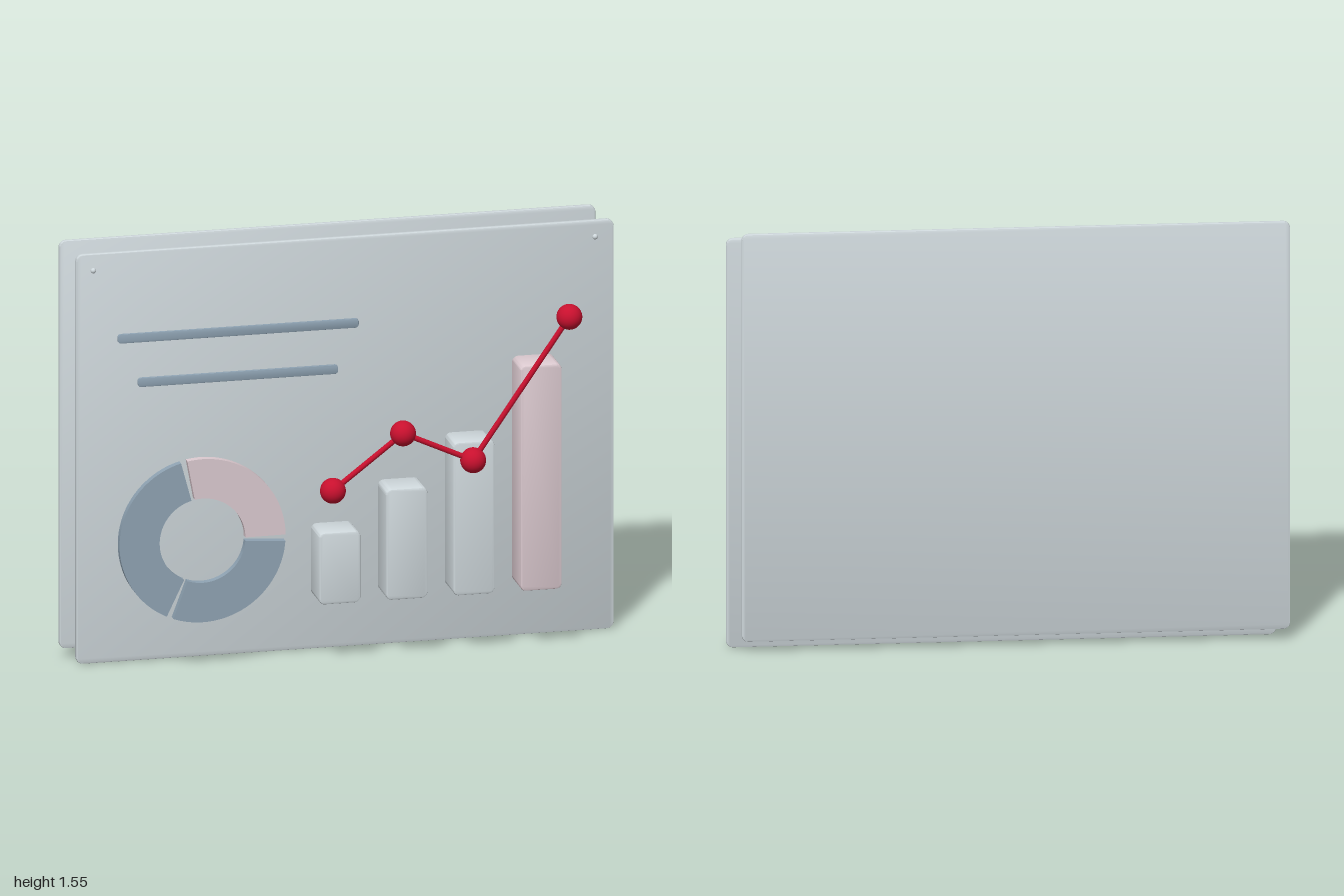
import * as THREE from 'three';
import { toCreasedNormals } from 'three/addons/utils/BufferGeometryUtils.js';

const material = (color) => new THREE.MeshStandardMaterial({ color });
const pale = material(0xcfd8dc);
const blue = material(0x8fa3b3);
const pink = material(0xdccad0);
const red = material(0xc8102e);

// Extrudes a shape between z0 and z1, the bevel included in its outline
function extrude(shape, z0, z1, bevel) {
  const geometry = new THREE.ExtrudeGeometry(shape, {
    depth: z1 - z0 - 2 * bevel,
    bevelEnabled: bevel > 0,
    bevelThickness: bevel,
    bevelSize: bevel,
    bevelOffset: -bevel,
    bevelSegments: 2,
    curveSegments: 8,
  });
  geometry.translate(0, 0, z0 + bevel);
  return toCreasedNormals(geometry, 0.5);
}

// Rectangle with rounded corners
function roundedRect(x0, y0, x1, y1, r) {
  const s = new THREE.Shape();
  s.absarc(x1 - r, y0 + r, r, -Math.PI / 2, 0);
  s.absarc(x1 - r, y1 - r, r, 0, Math.PI / 2);
  s.absarc(x0 + r, y1 - r, r, Math.PI / 2, Math.PI);
  s.absarc(x0 + r, y0 + r, r, Math.PI, Math.PI * 1.5);
  s.closePath();
  return s;
}

// Sector of a ring, angles in degrees
function ringSector(inner, outer, from, to) {
  const a = THREE.MathUtils.degToRad(from);
  const b = THREE.MathUtils.degToRad(to);
  const n = 40;
  const points = [];
  const arc = (r, start, end) => {
    for (let i = 0; i <= n; i++) {
      const t = start + ((end - start) * i) / n;
      points.push(new THREE.Vector2(r * Math.cos(t), r * Math.sin(t)));
    }
  };
  arc(outer, a, b);
  arc(inner, b, a);
  return new THREE.Shape(points);
}

export function createModel() {
  const model = new THREE.Group();
  model.name = 'chartBoard';

  const add = (name, geometry, mat, parent = model) => {
    const mesh = new THREE.Mesh(geometry, mat);
    mesh.name = name;
    parent.add(mesh);
    return mesh;
  };
  const group = (name) => {
    const g = new THREE.Group();
    g.name = name;
    model.add(g);
    return g;
  };

  // Two offset panels
  add('backPanel', extrude(roundedRect(-1, 0.04, 0.95, 1.55, 0.025), -0.237, -0.216, 0.005), pale);
  add('frontPanel', extrude(roundedRect(-0.955, 0, 1, 1.515, 0.025), -0.169, -0.147, 0.005), pale);

  // Pins in the upper corners of the front panel
  for (const x of [-0.893, 0.932]) {
    add('pin', new THREE.SphereGeometry(0.01, 16, 12), pale).position.set(x, 1.455, -0.147);
  }

  // Heading strips
  add('upperStrip', extrude(roundedRect(-0.838, 1.224, 0.038, 1.258, 0.012), -0.008, 0.003, 0.002), blue);
  add('lowerStrip', extrude(roundedRect(-0.765, 1.058, -0.037, 1.092, 0.012), -0.008, 0.003, 0.002), blue);

  // Ring chart in three sectors
  const ring = group('ringChart');
  ring.position.set(-0.535, 0.48, 0);
  [[0.5, 100.5, pink], [105, 244.5, blue], [249.5, 356, blue]].forEach(([from, to, mat]) => {
    add('ringSector', extrude(ringSector(0.156, 0.302, from, to), -0.006, 0.022, 0), mat, ring);
  });

  // Bars of rising height
  const bars = group('bars');
  [0.495, 0.64, 0.797, 1.064].forEach((top, i) => {
    const x = -0.125 + i * 0.244;
    const shape = roundedRect(x, 0.23, x + 0.152, top, 0.022);
    add('bar', extrude(shape, -0.056, 0.081, 0.007), i === 3 ? pink : pale, bars);
  });

  // Line graph: balls joined by rods
  const graph = group('lineGraph');
  const points = [[-0.1, 0.685], [0.155, 0.88], [0.41, 0.763], [0.76, 1.27]]
    .map(([x, y]) => new THREE.Vector3(x, y, 0.19));
  points.forEach((p, i) => {
    add('graphBall', new THREE.SphereGeometry(0.046, 32, 20), red, graph).position.copy(p);
    if (i === 0) return;
    const path = new THREE.LineCurve3(points[i - 1], p);
    add('graphRod', new THREE.TubeGeometry(path, 1, 0.01, 12), red, graph);
  });

  return model;
}
